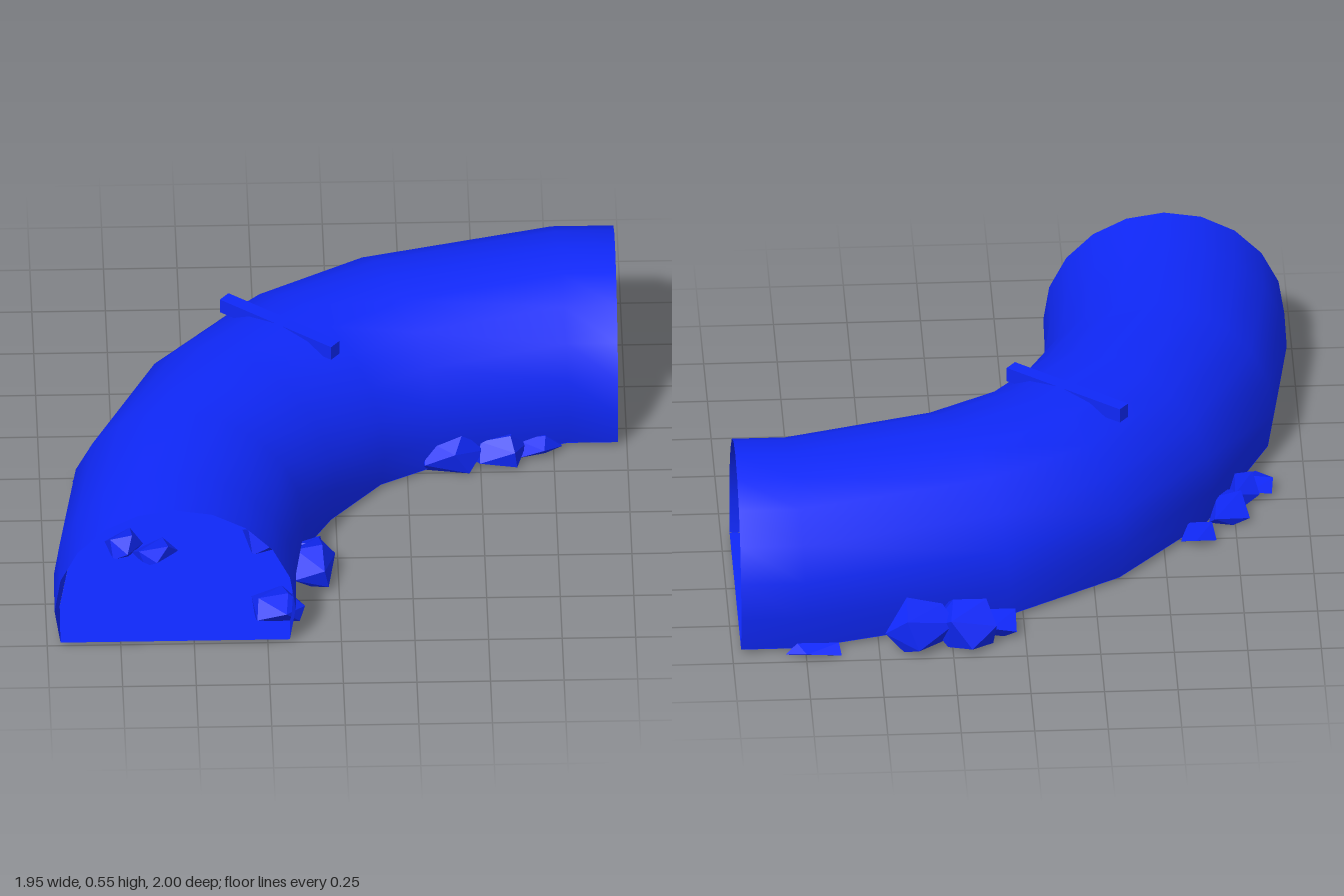
import * as THREE from 'three';
import { ConvexGeometry } from 'three/addons/geometries/ConvexGeometry.js';

const COLOR = 0x0f28f8;
const smooth = new THREE.MeshStandardMaterial({ color: COLOR, side: THREE.DoubleSide });
const faceted = new THREE.MeshStandardMaterial({ color: COLOR, flatShading: true });

// Plan of the bend: outer and inner wall [x, z] at each station
const STATIONS = [
  [-0.975, 1.0, -0.155, 1.0],
  [-0.972, 0.78, -0.15, 0.8],
  [-0.905, 0.33, -0.11, 0.5],
  [-0.67, -0.17, 0.0, 0.3],
  [-0.35, -0.53, 0.17, 0.1],
  [0.05, -0.77, 0.35, 0.0],
  [0.75, -0.95, 0.8, -0.13],
  [0.97, -0.95, 0.97, -0.13],
];
const FLOOR_Y = 0.012, AXIS_Y = 0.14, RADIUS = 0.41, SEGMENTS = 12;

// Strip of cross-sections joined into a surface
function loft(rows) {
  const n = rows[0].length, index = [];
  for (let i = 0; i < rows.length - 1; i++) {
    for (let j = 0; j < n - 1; j++) {
      const a = i * n + j, b = a + n;
      index.push(a, b, a + 1, b, b + 1, a + 1);
    }
  }
  const geo = new THREE.BufferGeometry();
  geo.setAttribute('position', new THREE.Float32BufferAttribute(rows.flat(2), 3));
  geo.setIndex(index);
  geo.computeVertexNormals();
  return geo;
}

// Point across a station: s = -1 outer wall, +1 inner wall
function across([ox, oz, ix, iz], s, y) {
  return [(ox + ix) / 2 + s * (ix - ox) / 2, y, (oz + iz) / 2 + s * (iz - oz) / 2];
}

// Faceted stone filling a given box on the ground
function stone(seed, [x0, x1, z0, z1, h, count = 12]) {
  let state = seed * 7919 + 17;
  const rand = () => (state = (state * 16807) % 2147483647) / 2147483647;
  for (let i = 0; i < 5; i++) rand();
  const pts = [];
  for (let i = 0; i < count; i++) {
    const t = (i + 0.5) / count, r = Math.sqrt(1 - (1 - 2 * t) ** 2);
    const a = i * 2.4 + rand() * 0.7;
    pts.push(new THREE.Vector3(r * Math.cos(a), Math.max(1 - 2 * t + rand() * 0.2, -0.45), r * Math.sin(a)));
  }
  const box = new THREE.Box3().setFromPoints(pts);
  const size = box.getSize(new THREE.Vector3());
  for (const p of pts) {
    p.sub(box.min).divide(size);
    p.set(x0 + p.x * (x1 - x0), p.y * h, z0 + p.z * (z1 - z0));
  }
  return new THREE.Mesh(new ConvexGeometry(pts), faceted);
}

// Bar between two points
function bar(name, a, b, height, depth) {
  const from = new THREE.Vector3(...a), to = new THREE.Vector3(...b);
  const mesh = new THREE.Mesh(new THREE.BoxGeometry(depth, height, from.distanceTo(to)), faceted);
  mesh.position.copy(from).lerp(to, 0.5);
  mesh.lookAt(to);
  mesh.name = name;
  return mesh;
}

export function createModel() {
  const model = new THREE.Group();
  model.name = 'curvedTunnel';

  // Vaulted shell
  const shell = new THREE.Mesh(loft(STATIONS.map((st) =>
    Array.from({ length: SEGMENTS + 1 }, (_, j) => {
      const a = THREE.MathUtils.degToRad(-18 + 18 * j);
      return across(st, Math.cos(a), AXIS_Y + RADIUS * Math.sin(a));
    }))), smooth);
  shell.name = 'tunnelShell';
  model.add(shell);

  // Flat floor
  const edge = Math.cos(Math.PI / 10);
  const floor = new THREE.Mesh(loft(STATIONS.map((st) =>
    [across(st, edge, FLOOR_Y), across(st, -edge, FLOOR_Y)])), smooth);
  floor.name = 'floor';
  model.add(floor);

  // Roof beam lying across the crown
  model.add(bar('roofBeam', [-0.365, 0.522, -0.28], [0.005, 0.522, 0.015], 0.052, 0.048));

  // Rubble: x0, x1, z0, z1, height, corner count
  const rubble = {
    backStones: [
      [0.1, 0.32, -0.99, -0.78, 0.15], [0.24, 0.48, -1.0, -0.82, 0.18],
      [0.03, 0.16, -0.9, -0.75, 0.08, 8], [0.63, 0.82, -0.99, -0.91, 0.04, 7],
    ],
    outerStones: [
      [-0.68, -0.56, -0.32, -0.19, 0.06, 7], [-0.8, -0.66, -0.2, 0.02, 0.07, 8],
      [-0.84, -0.73, -0.06, 0.08, 0.1, 8], [-0.89, -0.78, 0.0, 0.16, 0.05, 7],
    ],
    innerStones: [
      [-0.16, -0.01, 0.5, 0.72, 0.14], [-0.3, -0.12, 0.74, 0.92, 0.09],
      [0.28, 0.51, -0.11, 0.03, 0.14], [-0.15, -0.04, 0.47, 0.6, 0.1, 8],
      [0.48, 0.66, -0.15, -0.01, 0.11], [0.6, 0.78, -0.19, -0.06, 0.07, 9],
    ],
    interiorStones: [
      [-0.79, -0.66, 0.38, 0.52, 0.08, 9], [-0.7, -0.54, 0.42, 0.56, 0.06, 8],
      [-0.5, -0.32, 0.12, 0.26, 0.04, 7], [-0.32, -0.16, 0.36, 0.5, 0.1, 9],
      [0.44, 0.6, -0.34, -0.19, 0.08, 8],
    ],
  };
  let seed = 1;
  for (const [name, list] of Object.entries(rubble)) {
    const group = new THREE.Group();
    group.name = name;
    for (const spec of list) group.add(stone(seed++, spec));
    model.add(group);
  }

  // Broken wooden fence inside the side opening
  const fence = new THREE.Group();
  fence.name = 'brokenFence';
  for (const [x, z, h] of [[0.65, -0.7, 0.21], [0.82, -0.84, 0.2]]) {
    fence.add(bar('fencePost', [x, 0, z], [x + 0.01, h, z], 0.03, 0.03));
  }
  [0.045, 0.09, 0.135, 0.18].forEach((y, i) => {
    const tilt = i % 2 ? 0.012 : -0.012;
    fence.add(bar('fenceRail', [0.61, y + tilt, -0.66], [0.86, y - tilt, -0.87], 0.02, 0.015));
  });
  model.add(fence);

  return model;
}
